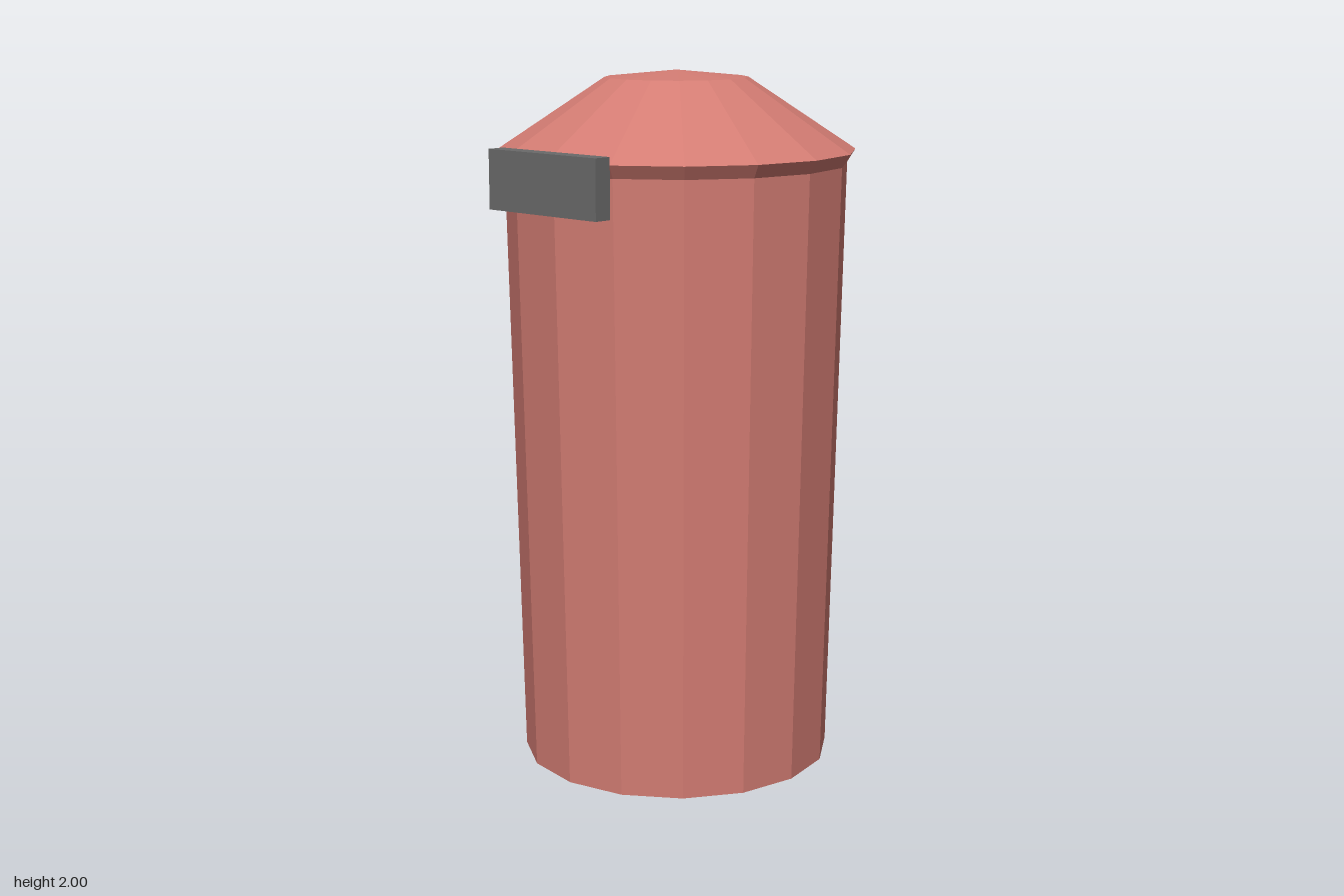
import * as THREE from 'three';

const SIDES = 16;

// Faceted solid of revolution from [radius, y] pairs, bottom to top
function turned(name, profile, material) {
  const points = profile.map(([r, y]) => new THREE.Vector2(r, y));
  const geometry = new THREE.LatheGeometry(points, SIDES).toNonIndexed();
  geometry.computeVertexNormals();
  const mesh = new THREE.Mesh(geometry, material);
  mesh.name = name;
  mesh.position.z = -0.01;
  return mesh;
}

export function createModel() {
  const red = new THREE.MeshStandardMaterial({ color: 0xd37c73 });
  red.name = 'dusty red';
  const grey = new THREE.MeshStandardMaterial({ color: 0x6a6a6a });
  grey.name = 'dark grey';

  const model = new THREE.Group();
  model.name = 'bin';

  // Tapered body with closed base
  model.add(turned('body', [[0, 0], [0.45, 0], [0.487, 1.74]], red));

  // Lid with flared rim, sloping shoulder and shallow cap
  model.add(turned('lid', [[0.487, 1.74], [0.51, 1.777], [0.203, 1.98], [0, 2]], red));

  // Front handle plate
  const handle = new THREE.Mesh(new THREE.BoxGeometry(0.408, 0.165, 0.053), grey);
  handle.name = 'handle';
  handle.position.set(0, 1.718, 0.495);
  model.add(handle);

  return model;
}
